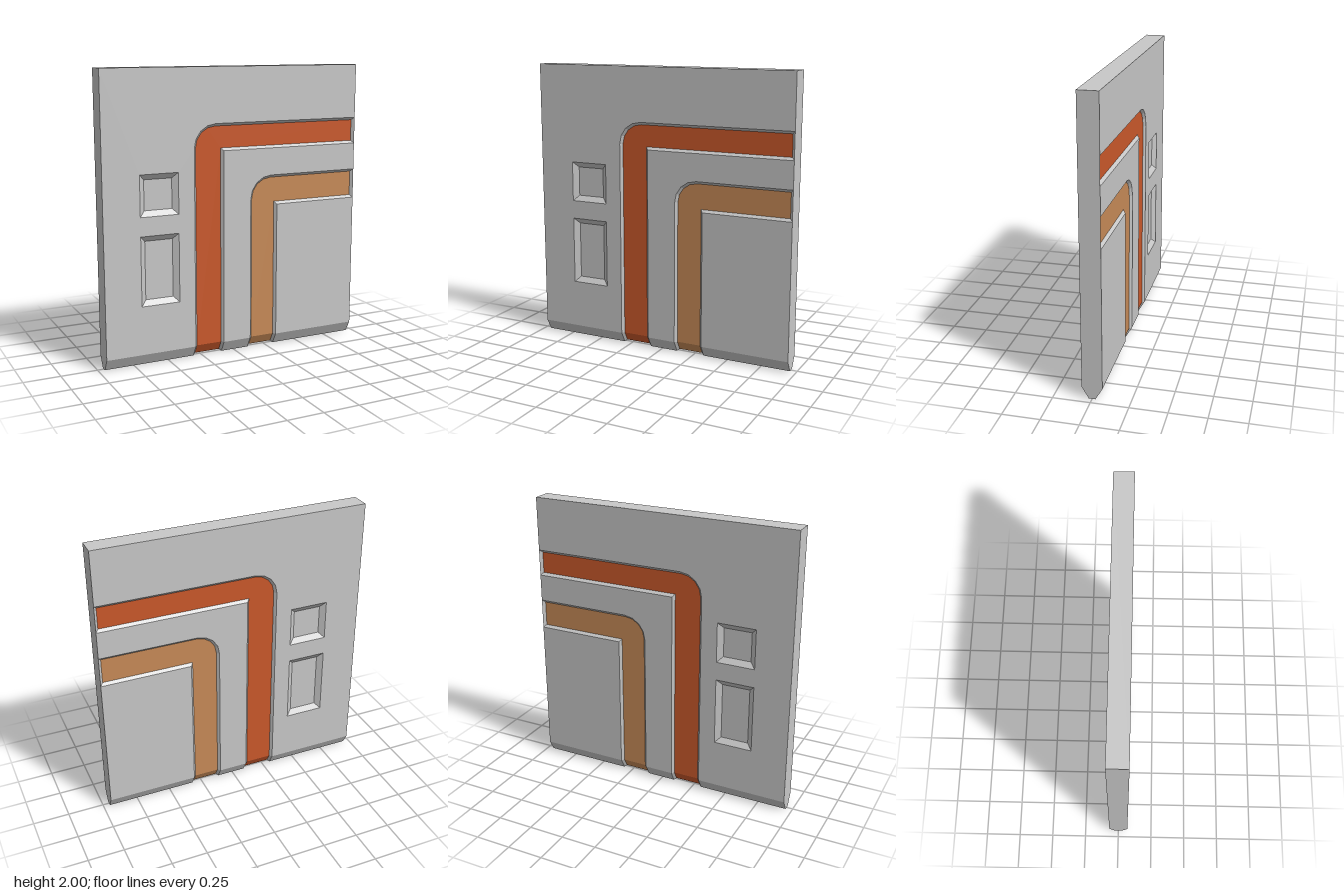
import * as THREE from 'three';

const W = 0.955, H = 2, T = 0.068; // half width, height, half thickness
const CH = 0.08, TIP = 0.022; // bottom chamfer height, half thickness at its foot
const FLOOR = 0.05, FOOT_Y = 0.014, FOOT_Z = 0.012; // groove floor and its foot
const PAD_FLOOR = 0.04;

const material = (name, color) => {
  const m = new THREE.MeshStandardMaterial({ color });
  m.name = name;
  return m;
};
const v2 = (x, y) => new THREE.Vector2(x, y);
const v3 = (x, y, z) => new THREE.Vector3(x, y, z);
const lift = (pts, z) => pts.map(p => v3(p.x, p.y, z));

// Triangles of a flat outline with holes, at depth z
function face(outline, z, holes = []) {
  const all = [outline, ...holes].flat();
  return THREE.ShapeUtils.triangulateShape(outline, holes)
    .map(t => t.map(i => v3(all[i].x, all[i].y, z)));
}

// Triangles joining two paths of equal length
function strip(a, b) {
  const tris = [];
  for (let i = 0; i + 1 < a.length; i++) {
    tris.push([a[i], a[i + 1], b[i + 1]], [a[i], b[i + 1], b[i]]);
  }
  return tris;
}

// Flat-sided mesh whose triangles all face towards dir
function mesh(name, tris, dir, mat) {
  const pos = [];
  for (const [a, b, c] of tris) {
    const n = b.clone().sub(a).cross(c.clone().sub(a));
    if (n.length() < 1e-10) continue;
    for (const p of n.dot(dir) < 0 ? [a, c, b] : [a, b, c]) pos.push(p.x, p.y, p.z);
  }
  const g = new THREE.BufferGeometry();
  g.setAttribute('position', new THREE.Float32BufferAttribute(pos, 3));
  g.computeVertexNormals();
  const m = new THREE.Mesh(g, mat);
  m.name = name;
  return m;
}

// Path from the panel edge, round a corner, down to the chamfer line
function outerPath(endX, left, top, cx, cy) {
  const pts = [v2(endX, top)];
  for (let i = 0; i <= 4; i++) {
    const a = Math.PI / 2 * (1 + i / 4);
    pts.push(v2(cx + Math.cos(a) * (cx - left), cy + Math.sin(a) * (top - cy)));
  }
  pts.push(v2(left, CH));
  return pts;
}
const innerPath = (endX, x, y) => [v2(endX, y), v2(x, y), v2(x, CH)];

// Groove outlines: rim on the panel face, bed on the sunken floor
function groove(l, r, top, bottom) {
  const cx = l + 0.16, cy = top - 0.16, b = 0.016, bv = 0.018;
  return {
    x: [l, l + b, r - b, r],
    rimOuter: outerPath(W, l, top, cx, cy),
    bedOuter: outerPath(0.936, l + b, top - bv, cx, cy),
    rimInner: innerPath(W, r, bottom),
    bedInner: innerPath(0.936, r - b, bottom + bv),
  };
}

const rect = (x0, x1, y0, y1) => [v2(x0, y0), v2(x1, y0), v2(x1, y1), v2(x0, y1)];

export function createModel() {
  const group = new THREE.Group();
  const grey = material('panel grey', 0xc8c8c8);
  const grooves = [groove(-0.31, -0.093, 1.622, 1.436), groove(0.114, 0.321, 1.246, 1.036)];
  const bandMats = [material('orange', 0xcb592b), material('tan', 0xc88b58)];
  const [g0, g1] = grooves;
  const padX = [-0.70, -0.426], pads = [[1.027, 1.31], [0.418, 0.897]];
  const inset = 0.038;

  // Panel face: three fields divided by the grooves, with pad openings
  const plate = [
    ...face([v2(-W, CH), v2(-W, H), v2(W, H), ...g0.rimOuter], T,
      pads.map(([y0, y1]) => rect(...padX, y0, y1))),
    ...face([...g0.rimInner, ...[...g1.rimOuter].reverse()], T),
    ...face([...g1.rimInner, v2(W, CH)], T),
  ];
  // Chamfered foot of each field
  for (const [a, b] of [[-W, g0.x[0]], [g0.x[3], g1.x[0]], [g1.x[3], W]]) {
    plate.push(...strip([v3(a, CH, T), v3(b, CH, T)], [v3(a, 0, TIP), v3(b, 0, TIP)]));
  }

  // Sunken rectangular pads
  const padTris = [];
  for (const [y0, y1] of pads) {
    const rim = rect(...padX, y0, y1);
    const bed = rect(padX[0] + inset, padX[1] - inset, y0 + inset, y1 - inset);
    padTris.push(...strip(lift([...rim, rim[0]], T), lift([...bed, bed[0]], PAD_FLOOR)),
      ...face(bed, PAD_FLOOR));
  }

  // Groove walls and coloured floors
  const walls = [], floors = [];
  for (const g of grooves) {
    const [a, b, c, d] = g.x;
    walls.push(
      ...strip([...lift(g.rimOuter, T), v3(a, 0, TIP)], [...lift(g.bedOuter, FLOOR), v3(b, FOOT_Y, FOOT_Z)]),
      ...strip([...lift(g.rimInner, T), v3(d, 0, TIP)], [...lift(g.bedInner, FLOOR), v3(c, FOOT_Y, FOOT_Z)]),
      ...strip(lift([g.rimOuter[0], g.rimInner[0]], T), lift([g.bedOuter[0], g.bedInner[0]], FLOOR)));
    floors.push([
      ...face([...g.bedOuter, ...[...g.bedInner].reverse()], FLOOR),
      ...strip([v3(b, CH, FLOOR), v3(c, CH, FLOOR)], [v3(b, FOOT_Y, FOOT_Z), v3(c, FOOT_Y, FOOT_Z)]),
    ]);
  }

  // Same skin on front and back
  for (const [side, s] of [['front', 1], ['back', -1]]) {
    const dir = v3(0, 0, s);
    const add = (name, tris, mat) => group.add(mesh(side + name,
      tris.map(t => t.map(p => v3(p.x, p.y, p.z * s))), dir, mat));
    add('Panel', plate, grey);
    add('Pads', padTris, grey);
    add('GrooveWalls', walls, grey);
    add('OuterBand', floors[0], bandMats[0]);
    add('InnerBand', floors[1], bandMats[1]);
  }

  // Top and side edges
  group.add(mesh('topEdge', strip([v3(-W, H, T), v3(W, H, T)], [v3(-W, H, -T), v3(W, H, -T)]), v3(0, 1, 0), grey));
  for (const s of [-1, 1]) {
    const edge = z => [v3(s * W, H, z * T), v3(s * W, CH, z * T), v3(s * W, 0, z * TIP)];
    group.add(mesh(s > 0 ? 'leftEdge' : 'rightEdge', strip(edge(1), edge(-1)), v3(s, 0, 0), grey));
  }

  // Bottom edge, notched under each groove
  const foot = s => [v3(-W, 0, s * TIP),
    ...grooves.flatMap(g => g.x.map((x, i) => i % 3 ? v3(x, FOOT_Y, s * FOOT_Z) : v3(x, 0, s * TIP))),
    v3(W, 0, s * TIP)];
  group.add(mesh('bottomEdge', strip(foot(1), foot(-1)), v3(0, -1, 0), grey));
  return group;
}
